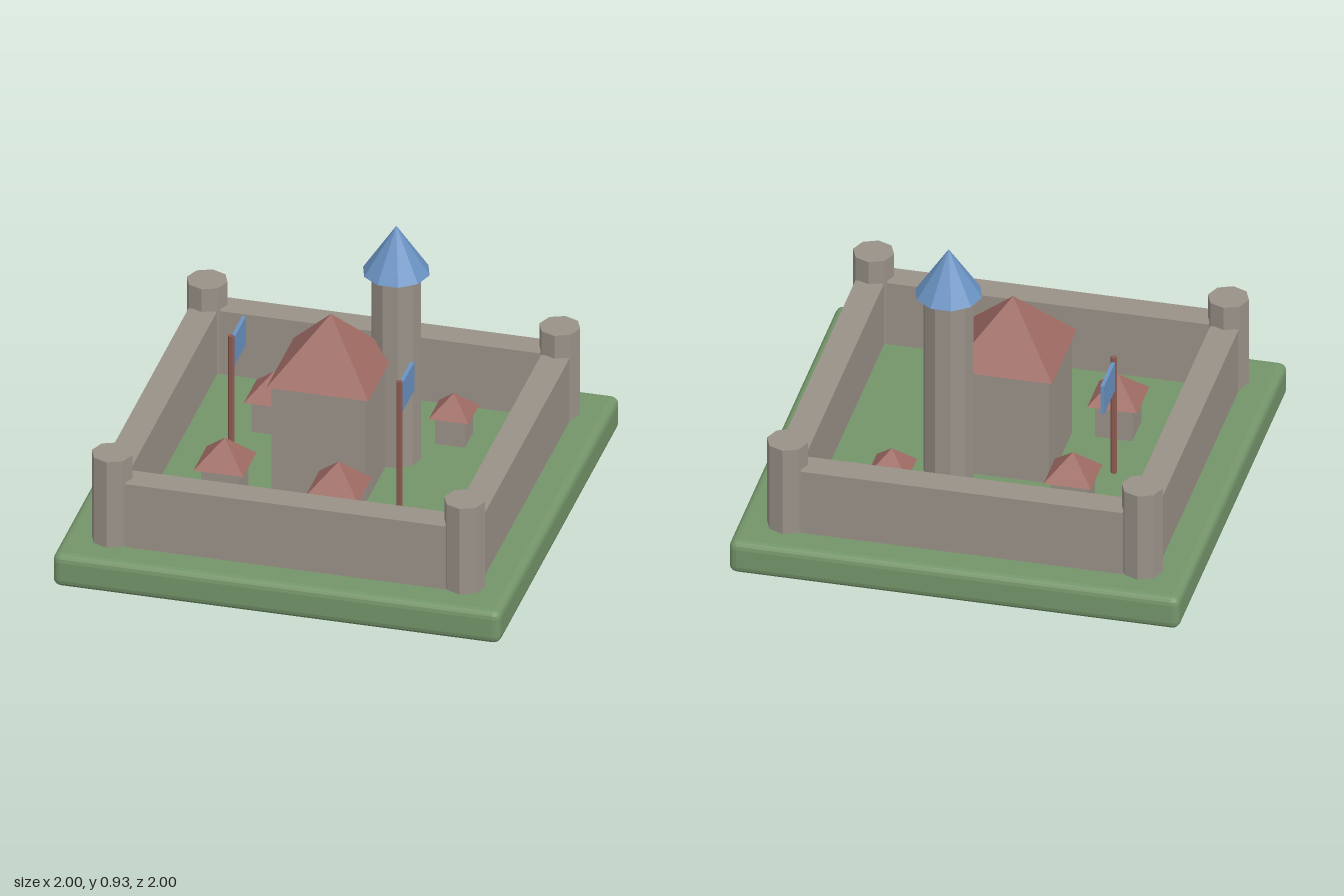
import * as THREE from 'three';
import { RoundedBoxGeometry } from 'three/addons/geometries/RoundedBoxGeometry.js';

const mat = (name, color, flatShading = true) =>
  new THREE.MeshStandardMaterial({ name, color, flatShading });

export function createModel() {
  const root = new THREE.Group();
  root.name = 'castle';

  const grass = mat('grass green', 0x74956a);
  const stone = mat('grey stone', 0x999188);
  const tile = mat('red tile', 0x9e6a63);
  const blue = mat('blue', 0x6a92c2);
  const wood = mat('brown wood', 0x8c5a50);

  const GROUND = 0.113;
  const TURN = Math.PI / 4; // the whole castle stands corner-on

  // Adds a mesh whose foot is at height y, turned by the given angle
  function add(name, geometry, material, x, y, z, height, turn = TURN, parent = root) {
    const mesh = new THREE.Mesh(geometry, material);
    mesh.name = name;
    mesh.position.set(x, y + height / 2, z);
    mesh.rotation.y = turn;
    parent.add(mesh);
    return mesh;
  }

  // Ground slab
  const side = 1.428;
  add('ground', new RoundedBoxGeometry(side, GROUND, side, 2, 0.025), grass, 0, 0, 0, GROUND);

  // Curtain walls and corner towers
  const ring = 0.795;
  for (let i = 0; i < 4; i++) {
    const a = i * Math.PI / 2;
    add('cornerTower', new THREE.CylinderGeometry(0.065, 0.065, 0.302, 8), stone,
      Math.sin(a) * ring, GROUND, Math.cos(a) * ring, 0.302);
    const b = a + TURN;
    const d = ring / Math.SQRT2;
    add('wall', new THREE.BoxGeometry(1.02, 0.222, 0.09), stone,
      Math.sin(b) * d, GROUND, Math.cos(b) * d, 0.222, b);
  }

  // Square building with a pyramid roof; radii are half diagonals
  function building(name, x, z, bodyRadius, bodyHeight, roofRadius, roofHeight) {
    const group = new THREE.Group();
    group.name = name;
    group.position.set(x, GROUND, z);
    root.add(group);
    const w = bodyRadius * Math.SQRT2;
    add('body', new THREE.BoxGeometry(w, bodyHeight, w), stone, 0, 0, 0, bodyHeight, TURN, group);
    add('roof', new THREE.ConeGeometry(roofRadius, roofHeight, 4), tile,
      0, bodyHeight, 0, roofHeight, 0, group);
  }

  building('keep', -0.012, -0.01, 0.212, 0.37, 0.23, 0.197);
  for (const [x, z, r] of [
    [-0.012, -0.364, 0.106],
    [-0.358, -0.064, 0.112],
    [-0.139, 0.257, 0.118],
    [0.428, -0.016, 0.09],
  ]) building('house', x, z, r * 0.75, r * 1.03, r, r * 0.76);

  // Tall tower
  add('tallTower', new THREE.CylinderGeometry(0.079, 0.079, 0.655, 10), stone,
    0.22, GROUND, -0.01, 0.655);
  add('tallTowerRoof', new THREE.ConeGeometry(0.106, 0.16, 10), blue,
    0.22, 0.766, -0.01, 0.16);

  // Flags on poles
  for (const [x, z, top] of [[0.057, 0.293, 0.57], [-0.216, -0.272, 0.532]]) {
    const flag = new THREE.Group();
    flag.name = 'flag';
    flag.position.set(x, GROUND, z);
    flag.rotation.y = TURN;
    root.add(flag);
    const h = top - GROUND;
    add('pole', new THREE.CylinderGeometry(0.01, 0.01, h, 6), wood, 0, 0, 0, h, 0, flag);
    add('cloth', new THREE.BoxGeometry(0.145, 0.1, 0.012), blue,
      0.08, h - 0.114, 0, 0.1, 0, flag);
  }

  return root;
}
